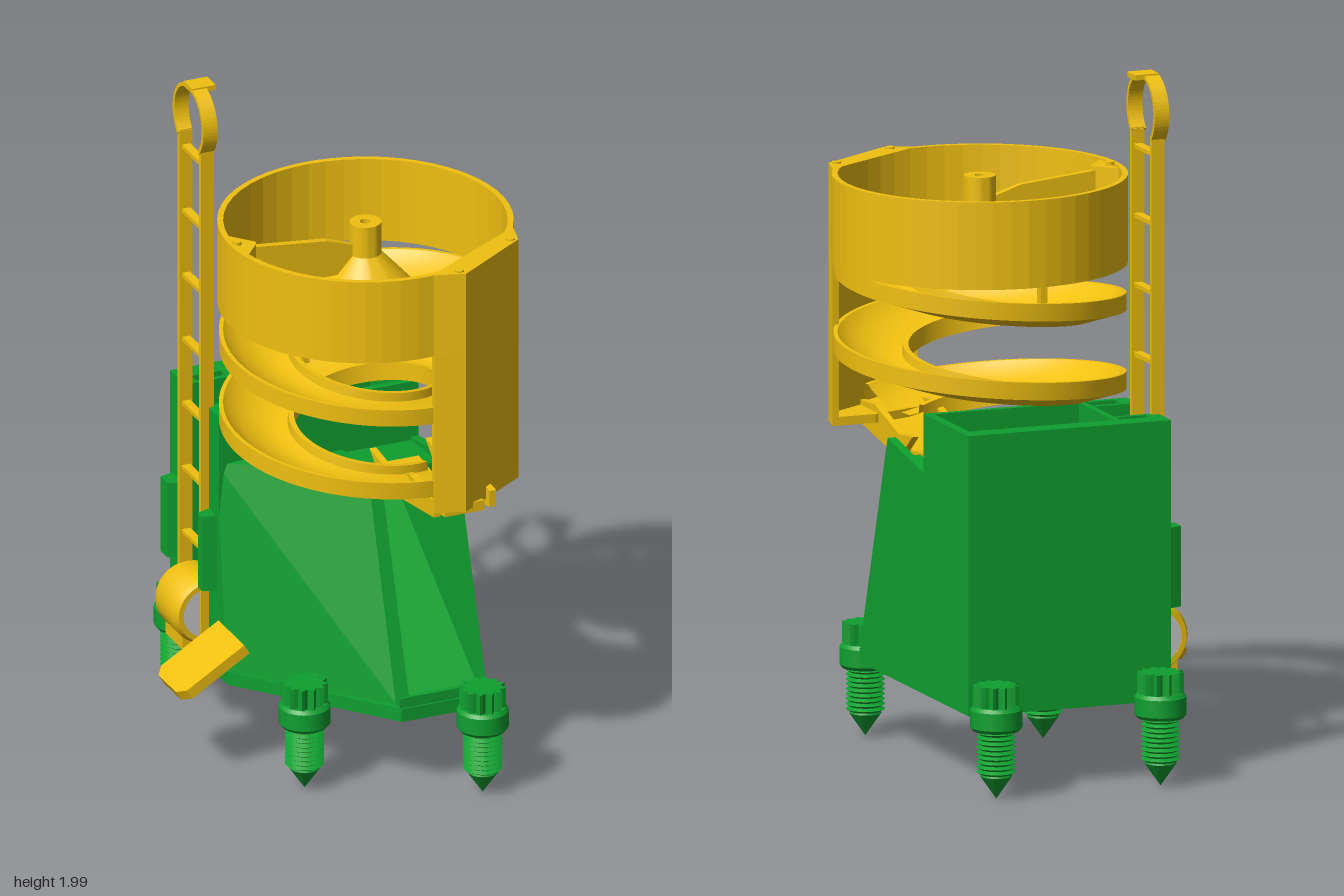
import * as THREE from 'three';
import { toCreasedNormals } from 'three/addons/utils/BufferGeometryUtils.js';
import { ConvexGeometry } from 'three/addons/geometries/ConvexGeometry.js';

const mat = (color) => new THREE.MeshStandardMaterial({ color, side: THREE.DoubleSide });
const GREEN = mat(0x0fa030), YELLOW = mat(0xf0c010), GREY = mat(0xcccccc);
const CX = 0.07, CZ = 0.12; // axis of the bowl and spiral

export function createModel() {
  const root = new THREE.Group();
  const add = (name, geo, m, parent = root) => {
    const mesh = new THREE.Mesh(geo, m);
    mesh.name = name;
    parent.add(mesh);
    return mesh;
  };
  // box given by its limits on each axis
  const box = (name, x0, x1, y0, y1, z0, z1, m, parent) => {
    const b = add(name, new THREE.BoxGeometry(x1 - x0, y1 - y0, z1 - z0), m, parent);
    b.position.set((x0 + x1) / 2, (y0 + y1) / 2, (z0 + z1) / 2);
    return b;
  };
  const shapeOf = (pts) => new THREE.Shape(pts.map((p) => new THREE.Vector2(p[0], p[1])));
  const extrude = (shape, depth) => new THREE.ExtrudeGeometry(shape, { depth, bevelEnabled: false, curveSegments: 24 });
  // outline in (z, y), from x0 to x1
  const side = (name, shape, x0, x1, m, parent) =>
    add(name, extrude(shape, x1 - x0).rotateY(-Math.PI / 2).translate(x1, 0, 0), m, parent);
  // outline in (x, z), from y0 to y1
  const plan = (name, shape, y0, y1, m, parent) =>
    add(name, extrude(shape, y1 - y0).rotateX(Math.PI / 2).translate(0, y1, 0), m, parent);
  const group = (name) => {
    const g = new THREE.Group();
    g.name = name;
    root.add(g);
    return g;
  };

  // ---- green base ----
  const base = group('base');
  plan('baseFloor', shapeOf([[-0.29, -0.42], [0.32, -0.42], [0.32, 0.4], [0.06, 0.4], [-0.29, -0.02]]), 0.24, 0.28, GREEN, base);
  box('backWall', -0.29, 0.32, 0.24, 1.04, -0.42, -0.36, GREEN, base);
  const profile = [[0.4, 0.24], [-0.42, 0.24], [-0.42, 1.04], [-0.08, 1.04], [-0.08, 0.87], [0.19, 0.92], [0.39, 0.31]];
  side('rightWall', shapeOf(profile), 0.295, 0.32, GREEN, base);
  side('dividerWall', shapeOf([[0.4, 0.24], [-0.08, 0.24], [-0.08, 0.87], [0.19, 0.92], [0.39, 0.31]]), 0.055, 0.085, GREEN, base);
  side('leftWall', shapeOf([[-0.02, 0.24], [-0.42, 0.24], [-0.42, 1.04], [-0.33, 1.04], [-0.33, 0.28],
    [-0.15, 0.28], [-0.15, 1.04], [-0.08, 1.04], [-0.08, 0.87], [-0.1, 0.9]]), -0.29, -0.25, GREEN, base);
  // angled front panel
  const panel = [];
  for (const d of [0, 0.03]) {
    for (const [x, y, z] of [[0.08, 0.24, 0.4], [-0.29, 0.24, -0.02], [0.08, 0.92, 0.19], [-0.29, 0.89, -0.1]]) {
      panel.push(new THREE.Vector3(x + (x < 0 ? d * 0.3 : 0), y, z - d));
    }
  }
  add('angledFrontPanel', new ConvexGeometry(panel), GREEN, base);
  // front wall of the tall box, with a window into the channel
  box('innerWallLeft', -0.29, 0.085, 0.28, 1.04, -0.1, -0.08, GREEN, base);
  box('innerWallAboveWindow', 0.085, 0.295, 0.83, 1.04, -0.1, -0.08, GREEN, base);
  side('channelRamp', shapeOf([[0.38, 0.28], [0.38, 0.31], [-0.36, 0.8], [-0.36, 0.77]]), 0.08, 0.3, GREEN, base);
  side('hopperFloor', shapeOf([[-0.08, 0.62], [-0.08, 0.65], [-0.36, 0.8], [-0.36, 0.77]]), -0.15, 0.08, GREEN, base);
  side('chuteShelf', shapeOf([[-0.08, 0.83], [-0.08, 0.86], [0.12, 0.88], [0.12, 0.85]]), 0.08, 0.3, GREEN, base);
  box('channelSill', 0.055, 0.32, 0.24, 0.31, 0.37, 0.395, GREEN, base);
  // pocket for the motor and its brackets
  box('pocketBack', -0.16, -0.14, 0.28, 1.04, -0.36, -0.1, GREEN, base);
  for (const [z0, z1] of [[-0.33, -0.315], [-0.165, -0.15]]) box('pocketSide', -0.27, -0.15, 0.28, 1.04, z0, z1, GREEN, base);
  for (const [z0, z1] of [[-0.41, -0.33], [-0.15, -0.09]]) {
    plan('motorBracket', shapeOf([[-0.28, z0], [-0.33, z0 + 0.015], [-0.33, z1 - 0.015], [-0.28, z1]]), 0.5, 0.73, GREEN, base);
  }

  // ---- screw feet ----
  const footProfile = [[0, 0.015], [0.045, 0.08]];
  for (let i = 0; i < 9; i++) {
    const y = 0.085 + i * 0.014;
    footProfile.push([0.043, y], [0.055, y + 0.007]);
  }
  footProfile.push([0.045, 0.21], [0.065, 0.21], [0.073, 0.22], [0.073, 0.27], [0.065, 0.28], [0, 0.28]);
  const footGeo = toCreasedNormals(new THREE.LatheGeometry(footProfile.map((p) => new THREE.Vector2(...p)), 28), 0.5);
  const star = [];
  for (let i = 0; i < 48; i++) {
    const a = (i / 48) * Math.PI * 2, r = 0.058 + 0.008 * Math.cos(a * 12);
    star.push([r * Math.cos(a), r * Math.sin(a)]);
  }
  for (const [x, z] of [[-0.23, -0.49], [0.265, -0.49], [0.275, 0.47], [-0.17, 0.245]]) {
    const foot = group('screwFoot');
    foot.position.set(x, 0, z);
    add('footScrew', footGeo, GREEN, foot);
    plan('footKnob', shapeOf(star), 0.27, 0.34, GREEN, foot);
  }

  // ---- bowl rim with a corner housing ----
  const R = 0.415;
  const corner = [[0.1, 0.535], [0.185, 0.56], [0.41, 0.41], [0.43, 0.33]];
  const outline = [];
  for (let i = 0; i <= 44; i++) {
    const a = THREE.MathUtils.degToRad(86 + (i / 44) * 304);
    outline.push([CX + R * Math.cos(a), CZ + R * Math.sin(a)]);
  }
  outline.push(corner[2], corner[1]);
  const rim = shapeOf(outline);
  rim.holes.push(new THREE.Path().absarc(CX, CZ, 0.398, 0, Math.PI * 2, true));
  plan('bowlRim', rim, 1.42, 1.67, YELLOW);
  const inner = [[0.41, 0.33], [0.395, 0.4], [0.185, 0.54], [0.1, 0.515]];
  plan('dropHousing', shapeOf([...corner, ...inner]), 0.95, 1.43, YELLOW);
  for (const [x, z] of [[0.39, 0.4], [0.175, 0.535], [-0.32, 0.115]]) {
    add('rimScrew', new THREE.CylinderGeometry(0.014, 0.014, 0.01, 8), YELLOW).position.set(x, 1.67, z);
  }

  // ---- spiral trough, two turns down ----
  const section = [[0.41, 0], [0.41, -0.05], [0.3, -0.085], [0.2, -0.09], [0.2, -0.035], [0.215, -0.035],
    [0.218, -0.06], [0.25, -0.07], [0.3, -0.062], [0.35, -0.042], [0.385, -0.015], [0.398, 0]];
  const steps = 150, n = section.length, pos = [], idx = [];
  for (let i = 0; i <= steps; i++) {
    const deg = -60 + (720 * i) / steps, a = THREE.MathUtils.degToRad(deg);
    for (const [r, h] of section) {
      pos.push(CX + r * Math.cos(a), 1.43 - (0.225 * deg) / 360 + h, CZ - r * Math.sin(a));
    }
  }
  for (let i = 0; i < steps; i++) {
    for (let j = 0; j < n; j++) {
      const a = i * n + j, b = i * n + ((j + 1) % n);
      idx.push(a, b, a + n, b, b + n, a + n);
    }
  }
  const spiral = new THREE.BufferGeometry();
  spiral.setAttribute('position', new THREE.Float32BufferAttribute(pos, 3));
  spiral.setIndex(idx);
  add('spiralTrough', toCreasedNormals(spiral, 0.6), YELLOW);
  box('spiralPost', -0.13, -0.11, 1.27, 1.42, 0.11, 0.14, YELLOW);

  // ---- outlet chute from the housing to the base ----
  const chute = group('outletChute');
  side('chuteFloor', shapeOf([[0.54, 0.92], [0.18, 0.855], [0.08, 0.87], [0.08, 0.89], [0.18, 0.88], [0.54, 0.95]]), 0.13, 0.25, YELLOW, chute);
  for (const x of [0.1, 0.27]) {
    side('chuteWall', shapeOf([[0.53, 0.92], [0.18, 0.86], [0.08, 0.94], [0.18, 0.93], [0.36, 0.98], [0.53, 0.97]]), x, x + 0.02, YELLOW, chute);
  }
  plan('housingFloor', shapeOf([...corner, [0.3, 0.33], [0.1, 0.4]]), 0.935, 0.96, YELLOW, chute);

  // ---- centre cone held by an arm ----
  const cone = add('centreCone', toCreasedNormals(new THREE.LatheGeometry([[0.14, 1.45], [0.145, 1.46], [0.045, 1.57], [0.045, 1.665],
    [0.015, 1.665], [0.015, 1.6], [0, 1.6]].map((p) => new THREE.Vector2(...p)), 32), 0.5), YELLOW);
  cone.position.set(CX, 0, CZ);
  const arm = new THREE.Shape();
  arm.moveTo(-0.34, 1.52).lineTo(0.04, 1.52).lineTo(0.04, 1.6).lineTo(-0.05, 1.63).lineTo(-0.34, 1.66).closePath();
  add('coneArm', extrude(arm, 0.02).translate(0, 0, 0.11), YELLOW);
  plan('armBracket', shapeOf([[-0.335, 0.04], [-0.265, 0.12], [-0.27, 0.135], [-0.325, 0.2]]), 1.5, 1.665, YELLOW);

  // ---- ladder with a hoop on top ----
  const ladder = group('ladder');
  const LZ = -0.245;
  for (const s of [-1, 1]) box('ladderRail', -0.308, -0.268, 0.3, 1.83, LZ + s * 0.075 - 0.006, LZ + s * 0.075 + 0.006, YELLOW, ladder);
  for (let y = 0.59; y < 1.8; y += 0.198) box('ladderRung', -0.3, -0.275, y - 0.006, y + 0.006, LZ - 0.075, LZ + 0.075, YELLOW, ladder);
  const hoop = new THREE.Shape();
  hoop.absarc(LZ, 1.893, 0.107, -0.78, Math.PI + 0.78, false);
  hoop.absarc(LZ, 1.893, 0.096, Math.PI + 0.78, -0.78, true);
  side('ladderHoop', hoop, -0.312, -0.268, YELLOW, ladder);
  box('hoopTab', -0.312, -0.24, 1.985, 2, LZ - 0.03, LZ + 0.03, YELLOW, ladder);

  // ---- motor drum with grey grilles, and its paddle ----
  const motor = group('motor');
  motor.position.set(-0.285, 0.4, LZ);
  const drum = new THREE.LatheGeometry([[0.075, -0.08], [0.09, -0.08], [0.1, -0.06], [0.1, 0.06], [0.09, 0.08], [0.075, 0.08]]
    .map((p) => new THREE.Vector2(...p)), 32).rotateX(Math.PI / 2);
  add('motorDrum', toCreasedNormals(drum, 0.5), YELLOW, motor);
  add('motorGrille', new THREE.CylinderGeometry(0.076, 0.076, 0.15, 32).rotateX(Math.PI / 2), GREY, motor);
  box('motorFoot', -0.07, 0.07, -0.11, -0.05, -0.06, 0.06, YELLOW, motor);
  const paddle = plan('paddle', shapeOf([[-0.115, -0.06], [-0.09, -0.09], [0.115, -0.09], [0.115, 0.09], [-0.09, 0.09], [-0.115, 0.06]]), -0.016, 0.016, YELLOW);
  paddle.position.set(-0.385, 0.345, 0.02);
  paddle.rotation.z = 0.55;
  return root;
}
